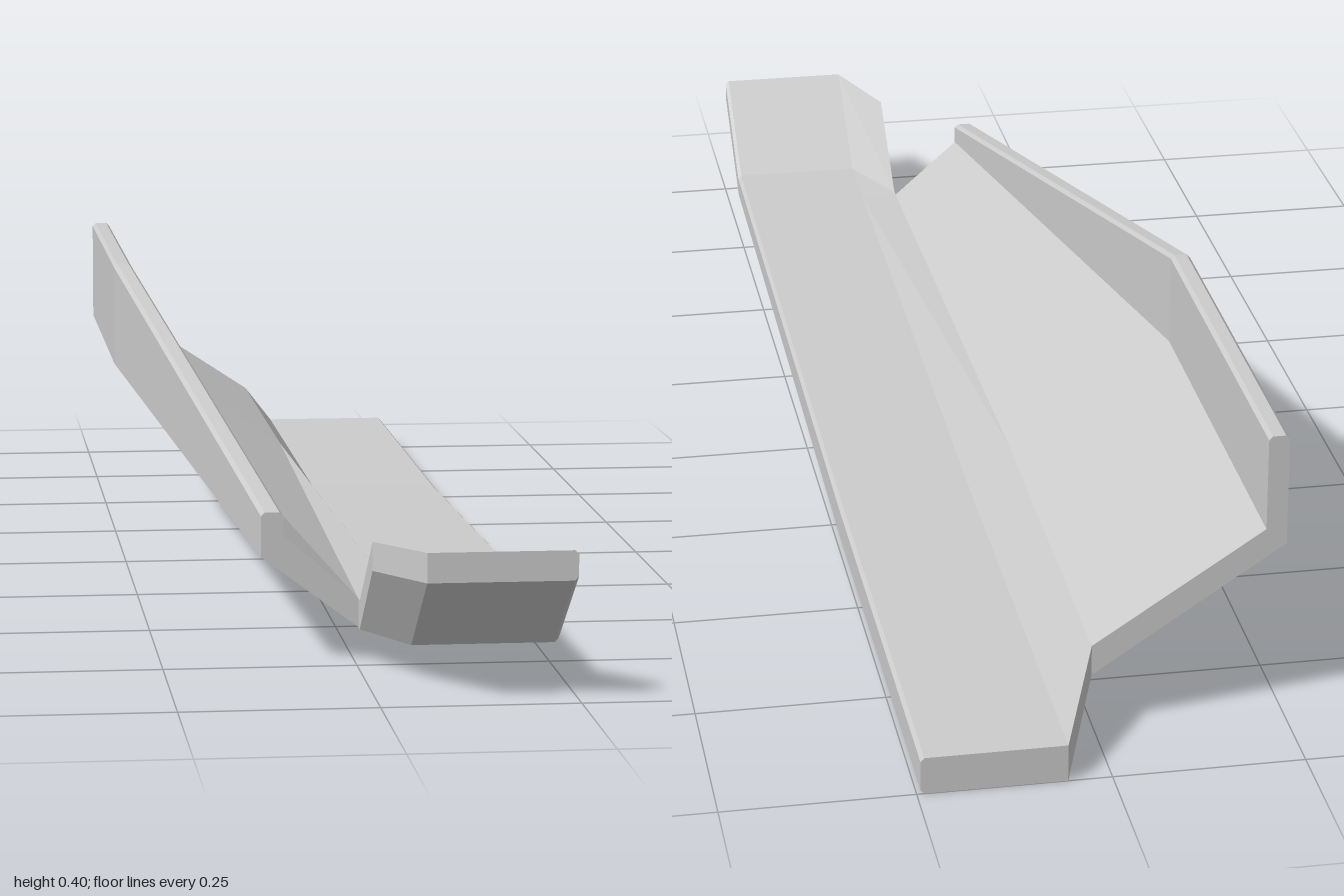
import * as THREE from 'three';

const material = new THREE.MeshStandardMaterial({ color: 0xcccccc, flatShading: true });
const BEVEL = 0.005;

// Thick sheet from a grid of [upper, lower] point pairs.
// Rows run front to back, columns run from +x to -x.
// rightEdge / leftEdge give the number of row spans to close on the first / last column.
function sheet(name, grid, rightEdge, leftEdge) {
  const pos = [];
  const quad = (a, b, c, d) => pos.push(...a, ...b, ...c, ...a, ...c, ...d);
  const rows = grid.length, cols = grid[0].length, last = cols - 1;
  for (let i = 0; i < rows - 1; i++) {
    const r = grid[i], s = grid[i + 1];
    for (let j = 0; j < last; j++) {
      quad(r[j][0], s[j][0], s[j + 1][0], r[j + 1][0]);
      quad(r[j + 1][1], s[j + 1][1], s[j][1], r[j][1]);
    }
    if (i < rightEdge) quad(r[0][1], s[0][1], s[0][0], r[0][0]);
    if (i < leftEdge) quad(r[last][0], s[last][0], s[last][1], r[last][1]);
  }
  // front and back ends
  const f = grid[0], b = grid[rows - 1];
  for (let j = 0; j < last; j++) {
    quad(f[j][1], f[j][0], f[j + 1][0], f[j + 1][1]);
    quad(b[j + 1][1], b[j + 1][0], b[j][0], b[j][1]);
  }
  const geometry = new THREE.BufferGeometry();
  geometry.setAttribute('position', new THREE.Float32BufferAttribute(pos, 3));
  geometry.computeVertexNormals();
  const mesh = new THREE.Mesh(geometry, material);
  mesh.name = name;
  return mesh;
}

// Pair of points one above the other
const pair = (x, z, top, bottom) => [[x, top, z], [x, bottom, z]];

export function createModel() {
  const group = new THREE.Group();
  group.name = 'bentPlate';

  // Fold line shared by the floor and the wing: z, top, bottom
  const fold = [
    [0.88, 0.187, 0.15],
    [0.745, 0.086, 0.048],
    [0.73, 0.085, 0.048],
    [-0.3, 0.125, 0.083],
    [-0.88, 0.125, 0.083],
  ].map(([z, t, b]) => pair(0.004, z, t, b));

  // Floor strip with upturned front lip: outer z, inner z, top, bottom
  const floor = [
    [1, 1, 0.194, 0.156],
    [0.85, 0.85, 0.086, 0.048],
    [0.73, 0.73, 0.082, 0.043],
    [-0.3, -0.33, 0.053, 0.002],
    [-1, -1, 0.053, 0.002],
  ].map(([zo, zi, t, b], i) => [
    pair(0.245, zo, t - BEVEL, b + BEVEL),
    pair(0.24, zo, t, b),
    pair(0.057, zi, t, b),
    fold[i],
  ]);
  group.add(sheet('floorStrip', floor, 4, 2));

  // Sloped wing with upright side wall: z, outer x, inner x, fold heights, rim height
  const wing = [
    [0.73, -0.122, -0.093, 0.17, 0.142, 0.2],
    [-0.3, -0.247, -0.22, 0.272, 0.25, 0.402],
    [-0.88, -0.247, -0.22, 0.272, 0.25, 0.402],
  ].map(([z, xo, xi, inner, outer, rim], i) => [
    fold[i + 2],
    [[xi, inner, z], [xo, outer, z]],
    [[xi, rim - BEVEL, z], [xo, rim - BEVEL, z]],
    [[xi - BEVEL, rim, z], [xo + BEVEL, rim, z]],
  ]);
  group.add(sheet('sideWing', wing, 0, 2));

  return group;
}
